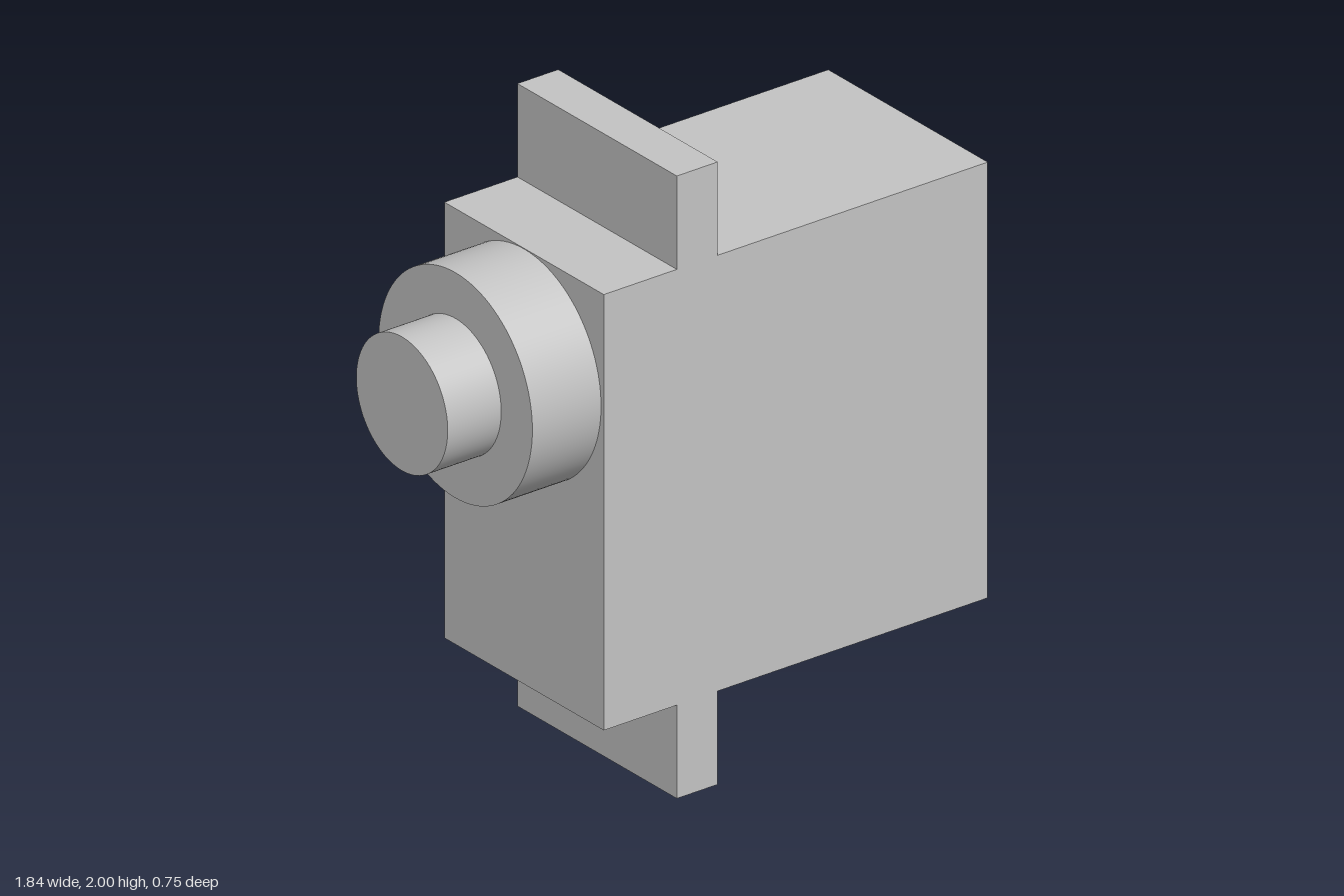
import * as THREE from 'three';

export function createModel() {
  const model = new THREE.Group();
  const grey = new THREE.MeshStandardMaterial({ color: 0xc4c4c4 });
  grey.name = 'plain grey';

  const add = (name, geometry) => {
    const mesh = new THREE.Mesh(geometry, grey);
    mesh.name = name;
    model.add(mesh);
    return mesh;
  };

  // Housing with a mounting tab above and below, in one outline
  const depth = 0.75;
  const left = -0.475, right = 0.918, bottom = 0.3, top = 1.7;
  const tabL = -0.21, tabR = -0.062;
  const outline = new THREE.Shape([
    [left, bottom], [tabL, bottom], [tabL, 0], [tabR, 0], [tabR, bottom],
    [right, bottom], [right, top], [tabR, top], [tabR, 2], [tabL, 2],
    [tabL, top], [left, top],
  ].map(([x, y]) => new THREE.Vector2(x, y)));
  const housing = new THREE.ExtrudeGeometry(outline, { depth, bevelEnabled: false });
  housing.translate(0, 0, -depth / 2);
  add('housingWithTabs', housing);

  // Round boss and output shaft on the -x end
  const disc = (name, radius, x0, x1) => {
    const geometry = new THREE.CylinderGeometry(radius, radius, x1 - x0, 96);
    geometry.rotateZ(Math.PI / 2);
    add(name, geometry).position.set((x0 + x1) / 2, 1.336, 0);
  };
  disc('boss', 0.362, -0.724, left);
  disc('outputShaft', 0.215, -0.918, -0.724);

  return model;
}
